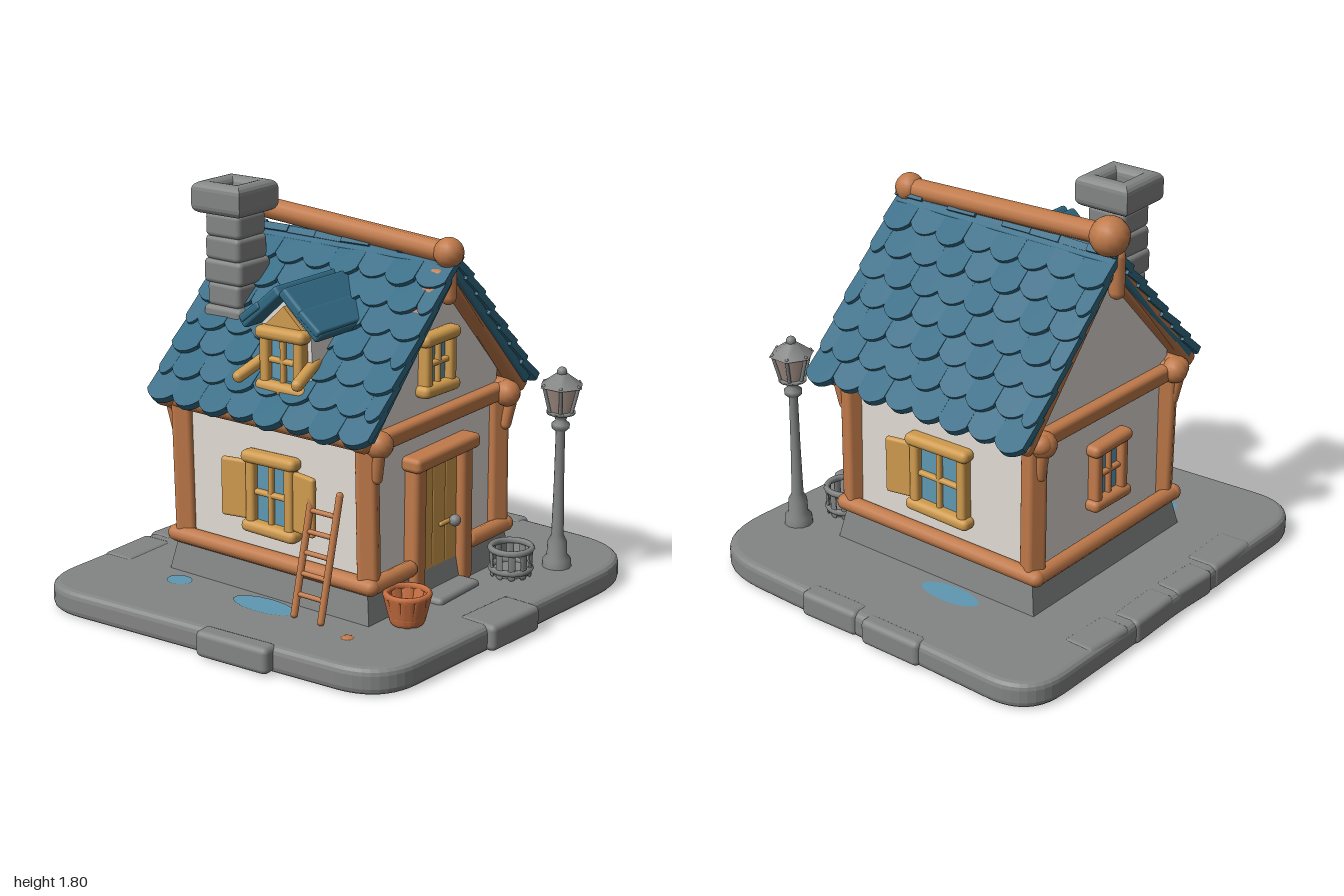
import * as THREE from 'three';
import { RoundedBoxGeometry } from 'three/addons/geometries/RoundedBoxGeometry.js';

const mat = (name, color) => Object.assign(new THREE.MeshStandardMaterial({ color }), { name });
const stone = mat('stone', 0x838584), roofBlue = mat('roofBlue', 0x316a84), wood = mat('wood', 0xc07a4a);
const paleWood = mat('paleWood', 0xcf9b4e), plaster = mat('plaster', 0xe2dbd5), glass = mat('glass', 0x5f98b2);
const clay = mat('clay', 0xc86f40), lampGlass = mat('lampGlass', 0xa8948a);
const V = (p) => new THREE.Vector3(...p);

function add(parent, name, geo, material, pos = [0, 0, 0], rot = [0, 0, 0]) {
  const m = new THREE.Mesh(geo, material);
  m.name = name;
  m.position.set(...pos);
  m.rotation.set(...rot);
  parent.add(m);
  return m;
}
const box = (parent, name, size, material, pos, rot, r = 0.015) =>
  add(parent, name, new RoundedBoxGeometry(...size, 2, Math.min(r, ...size.map((s) => s * 0.45))), material, pos, rot);

// Squared timber running between two points
function beam(parent, name, a, b, w, h, material = wood) {
  const m = box(parent, name, [w, h, V(a).distanceTo(V(b))], material, V(a).lerp(V(b), 0.5).toArray(), [0, 0, 0], 0.022);
  m.lookAt(V(b));
  return m;
}
// Round log running between two points
function log(parent, name, a, b, r, material = wood) {
  const d = V(b).sub(V(a));
  const m = add(parent, name, new THREE.CapsuleGeometry(r, d.length(), 4, 10), material, V(a).lerp(V(b), 0.5).toArray());
  m.quaternion.setFromUnitVectors(new THREE.Vector3(0, 1, 0), d.normalize());
  return m;
}
const ball = (parent, name, r, material, pos) => add(parent, name, new THREE.SphereGeometry(r, 14, 10), material, pos);
const polygon = (pts) => new THREE.Shape(pts.map((p) => new THREE.Vector2(...p)));

// Window facing +z; shutters lists the sides (-1, 1) that carry an open shutter
function windowUnit(parent, name, w, h, material, pos, ry, shutters = []) {
  const g = new THREE.Group();
  g.name = name;
  g.position.set(...pos);
  g.rotation.y = ry;
  parent.add(g);
  box(g, 'pane', [w - 0.04, h - 0.04, 0.008], glass, [0, 0, 0.012]);
  for (const s of [-1, 1]) {
    box(g, 'jamb', [0.045, h, 0.06], material, [s * (w / 2 - 0.022), 0, 0.02]);
    box(g, 'rail', [w + 0.04, 0.055, 0.075], material, [0, s * (h / 2 - 0.02), 0.025], [0, 0, s * 0.02], 0.025);
  }
  box(g, 'mullion', [0.024, h - 0.04, 0.035], material, [0, 0, 0.02]);
  box(g, 'crossbar', [w - 0.04, 0.024, 0.035], material, [0, 0, 0.02]);
  for (const s of shutters)
    box(g, 'shutter', [0.13, h - 0.09, 0.03], material, [s * (w / 2 + 0.06), 0, 0.035], [0, -s * 0.2, 0]);
}

// Rounded slab with a bevelled rim and separate edge stones
function buildBase(root) {
  const corners = [[-0.97, 0.91], [-0.85, -0.82], [0.91, -0.91], [0.965, 0.91]].map((p) => new THREE.Vector2(...p));
  const radii = [0.22, 0.2, 0.32, 0.2];
  const s = new THREE.Shape();
  corners.forEach((c, i) => {
    const toward = (o) => c.clone().add(o.clone().sub(c).setLength(radii[i]));
    const a = toward(corners[(i + 3) % 4]), b = toward(corners[(i + 1) % 4]);
    i ? s.lineTo(a.x, a.y) : s.moveTo(a.x, a.y);
    s.quadraticCurveTo(c.x, c.y, b.x, b.y);
  });
  s.closePath();
  const geo = new THREE.ExtrudeGeometry(s, { depth: 0.055, bevelThickness: 0.03, bevelSize: 0.03, bevelSegments: 3, curveSegments: 10 });
  add(root, 'pavement', geo, stone, [0, 0.03, 0], [-Math.PI / 2, 0, 0]);
  const edge = [ // x, z, width, depth, turn
    [-0.42, -0.86, 0.29, 0.16, 0.03], [-0.13, -0.88, 0.25, 0.13, -0.05], [0.16, -0.88, 0.28, 0.13, 0.03], [0.46, -0.86, 0.26, 0.15, -0.04],
    [0.955, -0.2, 0.08, 0.31, 0], [-0.05, 0.83, 0.32, 0.19, -0.06], [0.93, 0.15, 0.1, 0.3, 0.02], [-0.93, 0.15, 0.09, 0.36, 0.06]];
  for (const [x, z, w, d, r] of edge) box(root, 'edgeStone', [w, 0.115, d], stone, [x, 0.063, z], [0, r, 0], 0.025);
  box(root, 'doorStep', [0.3, 0.06, 0.16], stone, [0, 0.11, 0.52], [0, 0.03, 0], 0.02);
  for (const [x, z, a, b] of [[0.6, -0.2, 0.06, 0.15], [-0.6, 0.02, 0.07, 0.16], [-0.6, -0.45, 0.05, 0.06]])
    add(root, 'puddle', new THREE.CircleGeometry(1, 14), glass, [x, 0.118, z], [-Math.PI / 2, 0, 0]).scale.set(a, b, 1);
  ball(root, 'pebble', 0.03, wood, [-0.65, 0.11, 0.5]).scale.y = 0.4;
}

function buildWalls(root) {
  const f = new THREE.CylinderGeometry(0.69, 0.735, 0.17, 4, 1).rotateY(Math.PI / 4).toNonIndexed();
  f.computeVertexNormals();
  add(root, 'foundation', f, stone, [0.005, 0.18, -0.04]).scale.z = 1.05;
  const wall = polygon([[-0.46, 0.22], [0.46, 0.22], [0.46, 0.98], [0, 1.49], [-0.46, 0.98]]);
  add(root, 'walls', new THREE.ExtrudeGeometry(wall, { depth: 0.98, bevelEnabled: false }), plaster, [0, 0, -0.53]);

  for (const s of [-1, 1]) {
    for (const z of [0.46, -0.525]) {
      beam(root, 'cornerPost', [s * 0.455, 0.26, z], [s * 0.46, 0.92, z - 0.01], 0.09, 0.09);
      beam(root, 'gableRafter', [s * 0.02, 1.51, z + Math.sign(z) * 0.03], [s * 0.575, 0.88, z + Math.sign(z) * 0.03], 0.08, 0.065);
      ball(root, 'postCap', 0.058, wood, [s * 0.455, 0.88, z + Math.sign(z) * 0.05]);
      log(root, 'bracket', [s * 0.46, 0.74, z + Math.sign(z) * 0.04], [s * 0.47, 0.84, z + Math.sign(z) * 0.06], 0.026);
    }
    log(root, 'sideSill', [s * 0.485, 0.275, 0.49], [s * 0.485, 0.275, -0.565], 0.038);
    log(root, 'wallPlate', [s * 0.475, 0.89, 0.48], [s * 0.475, 0.89, -0.58], 0.048);
    log(root, 'frontSill', [s * 0.22, 0.275, 0.49], [s * 0.485, 0.275, 0.49], 0.036);
  }
  log(root, 'backSill', [-0.485, 0.275, -0.565], [0.485, 0.275, -0.565], 0.036);
  for (const z of [0.47, -0.545]) {
    beam(root, 'crossBeam', [-0.47, 0.87, z], [0.47, 0.885, z], 0.07, 0.075);
    log(root, 'kingPost', [0, 1.4, z + Math.sign(z) * 0.045], [0, 1.55, z + Math.sign(z) * 0.045], 0.035);
  }
  windowUnit(root, 'gableWindow', 0.21, 0.26, paleWood, [-0.01, 1.12, 0.45], 0);
  windowUnit(root, 'backWindow', 0.22, 0.3, wood, [-0.02, 0.57, -0.53], Math.PI);
  windowUnit(root, 'rightWallWindow', 0.3, 0.35, paleWood, [0.46, 0.56, -0.05], Math.PI / 2, [-1]);
  windowUnit(root, 'leftWallWindow', 0.25, 0.35, paleWood, [-0.46, 0.56, -0.03], -Math.PI / 2, [-1, 1]);

  // Door
  for (let i = -1; i <= 1; i++) box(root, 'doorPlank', [0.092, 0.58, 0.03], paleWood, [0.005 + i * 0.09, 0.41, 0.465], [0, 0, 0], 0.008);
  for (const s of [-1, 1]) beam(root, 'doorJamb', [s * 0.17, 0.11, 0.48], [s * 0.165, 0.72, 0.48], 0.075, 0.08);
  beam(root, 'doorLintel', [-0.225, 0.725, 0.49], [0.225, 0.735, 0.49], 0.1, 0.065);
  log(root, 'doorLatch', [0.01, 0.405, 0.485], [0.08, 0.405, 0.485], 0.01, paleWood);
  ball(root, 'doorKnob', 0.026, stone, [0.085, 0.405, 0.505]);
}

// One roof slope: local +x runs down the slope
function roofSlope(root, name, side) {
  const g = new THREE.Group();
  g.name = name;
  g.position.set(0.01, 1.565, -0.025);
  g.rotation.set(0, side > 0 ? 0 : Math.PI, -0.816, 'YXZ');
  root.add(g);
  box(g, 'roofDeck', [0.86, 0.04, 1.14], roofBlue, [0.42, -0.035, 0], [0, 0, 0], 0.008);
  box(g, 'roofLining', [0.83, 0.02, 1.1], wood, [0.42, -0.062, 0], [0, 0, 0], 0.005);
  const s = new THREE.Shape().moveTo(0, -0.5).lineTo(0.155, -0.5);
  s.bezierCurveTo(0.185, -0.35, 0.195, -0.15, 0.195, 0).bezierCurveTo(0.195, 0.15, 0.185, 0.35, 0.155, 0.5).lineTo(0, 0.5);
  const tile = new THREE.ExtrudeGeometry(s, { depth: 0.032, bevelEnabled: false, curveSegments: 4 }).rotateX(Math.PI / 2);
  const cols = 8, width = 1.17 / cols;
  for (let row = 0; row < 7; row++) {
    const odd = row % 2;
    for (let c = 0; c < cols + odd; c++) {
      const from = odd ? Math.max(0, c - 0.5) : c, to = odd ? Math.min(cols, c + 0.5) : c + 1;
      const wobble = Math.sin(row * 5.3 + c * 2.7 + side);
      add(g, 'shingle', tile, roofBlue, [row * 0.123 - 0.02 + wobble * 0.008, 0.003, ((from + to) / 2 - cols / 2) * width],
        [wobble * 0.03, 0, 0.12 + wobble * 0.015]).scale.z = (to - from) * width;
    }
  }
}

function buildRoof(root) {
  roofSlope(root, 'rightRoof', 1);
  roofSlope(root, 'leftRoof', -1);
  log(root, 'ridgeLog', [-0.008, 1.585, 0.5], [0.03, 1.645, -0.58], 0.046);
  ball(root, 'frontRidgeKnob', 0.064, wood, [-0.008, 1.585, 0.52]);
  ball(root, 'backRidgeKnob', 0.085, wood, [0.035, 1.645, -0.575]);

  // Dormer facing the left side
  const d = new THREE.Group();
  d.name = 'dormer';
  d.position.set(-0.46, 0, 0.04);
  d.rotation.y = -Math.PI / 2;
  root.add(d);
  const wall = polygon([[-0.13, 0.98], [0.13, 0.98], [0.13, 1.29], [0, 1.41], [-0.13, 1.29]]);
  add(d, 'dormerWalls', new THREE.ExtrudeGeometry(wall, { depth: 0.38, bevelEnabled: false }), plaster, [0, 0, -0.38]);
  for (const s of [-1, 1]) {
    box(d, 'dormerRoof', [0.26, 0.05, 0.41], roofBlue, [s * 0.105, 1.365, -0.155], [0, 0, -s * 0.72], 0.015);
    box(d, 'dormerEaveTiles', [0.13, 0.035, 0.42], roofBlue, [s * 0.155, 1.338, -0.155], [0, 0, -s * 0.66], 0.012);
    beam(d, 'dormerPost', [s * 0.125, 0.98, 0.005], [s * 0.125, 1.29, 0.005], 0.05, 0.05, paleWood);
  }
  windowUnit(d, 'dormerWindow', 0.22, 0.27, paleWood, [0, 1.15, 0], 0);
  add(d, 'dormerGable', new THREE.ExtrudeGeometry(polygon([[-0.12, 1.27], [0.12, 1.27], [0, 1.38]]), { depth: 0.02, bevelEnabled: false }), paleWood);

  // Chimney: rough courses under a hollow cap
  for (let i = 0; i < 6; i++) {
    const w = 0.195 + 0.015 * Math.sin(i * 2.4);
    box(root, 'chimneyCourse', [w, 0.106, w], stone, [-0.225 + 0.004 * Math.cos(i * 2), 1.12 + i * 0.1, -0.425], [0, 0.04 * Math.sin(i * 3), 0], 0.022);
  }
  const sq = (r) => [[-r, -r], [r, -r], [r, r], [-r, r]];
  const cap = polygon(sq(0.095));
  cap.holes.push(polygon(sq(0.085).reverse()));
  const capGeo = new THREE.ExtrudeGeometry(cap, { depth: 0.065, bevelThickness: 0.035, bevelSize: 0.035, bevelSegments: 4 });
  add(root, 'chimneyCap', capGeo, stone, [-0.23, 1.702, -0.425], [-Math.PI / 2, 0, 0.02]);
  box(root, 'chimneyThroat', [0.18, 0.05, 0.18], stone, [-0.23, 1.71, -0.425]);
}

// Open tub made of staves and hoops
function tub(root, name, material, x, z, r0, r1, h, gap) {
  const g = new THREE.Group();
  g.name = name;
  g.position.set(x, 0.115, z);
  root.add(g);
  add(g, 'tubFloor', new THREE.CylinderGeometry(r0, r0, 0.02, 14), material, [0, 0.02, 0]);
  for (let i = 0; i < 10; i++) {
    const a = (i / 10) * Math.PI * 2, at = (r, y) => [Math.cos(a) * r, y, Math.sin(a) * r];
    const m = beam(g, 'stave', at(r0, 0), at(r1, h), 0.6 * r1 * gap, 0.6 * r1 * gap, material);
    m.scale.set(1, 0.4, 1);
    m.rotation.set(0, -a + Math.PI / 2, 0);
    m.rotateX(-Math.PI / 2 + Math.atan((r1 - r0) / h));
  }
  for (const t of [0.25, 0.92])
    add(g, 'hoop', new THREE.TorusGeometry(r0 + (r1 - r0) * t, 0.014, 6, 18), material, [0, h * t, 0], [Math.PI / 2, 0, 0]);
}

function buildProps(root) {
  tub(root, 'clayBucket', clay, -0.38, 0.6, 0.058, 0.092, 0.14, 1.05);
  tub(root, 'greyTub', stone, 0.33, 0.63, 0.085, 0.09, 0.135, 0.6);

  // Leaning ladder
  for (const z of [0.2, 0.34]) log(root, 'ladderRail', [-0.62, 0.13, z], [-0.495, 0.64, z], 0.016);
  for (let i = 1; i < 6; i++) {
    const t = i / 6, x = -0.62 + 0.125 * t, y = 0.13 + 0.51 * t;
    log(root, 'ladderRung', [x, y, 0.2], [x, y, 0.34], 0.011);
  }

  // Street lamp
  const lamp = new THREE.Group();
  lamp.name = 'streetLamp';
  lamp.position.set(0.54, 0, 0.73);
  root.add(lamp);
  const profile = [[0.065, 0.1], [0.062, 0.15], [0.045, 0.17], [0.042, 0.23], [0.027, 0.26], [0.022, 0.5], [0.02, 0.73], [0.038, 0.745],
    [0.04, 0.765], [0.022, 0.78], [0.03, 0.8], [0.062, 0.81], [0.062, 0.822], [0, 0.822]];
  add(lamp, 'lampPost', new THREE.LatheGeometry(profile.map((p) => new THREE.Vector2(...p)), 12), stone);
  add(lamp, 'lampPane', new THREE.CylinderGeometry(0.083, 0.052, 0.12, 6), lampGlass, [0, 0.88, 0]);
  for (let i = 0; i < 6; i++) {
    const a = (i / 6) * Math.PI * 2, s = Math.sin(a), c = Math.cos(a);
    log(lamp, 'lampBar', [s * 0.053, 0.82, c * 0.053], [s * 0.085, 0.94, c * 0.085], 0.008, stone);
  }
  add(lamp, 'lampHood', new THREE.CylinderGeometry(0.025, 0.1, 0.055, 6), stone, [0, 0.96, 0]);
  ball(lamp, 'lampFinial', 0.022, stone, [0, 0.995, 0]);
}

export function createModel() {
  const root = new THREE.Group();
  root.name = 'cottage';
  [buildBase, buildWalls, buildRoof, buildProps].forEach((build) => build(root));
  return root;
}
